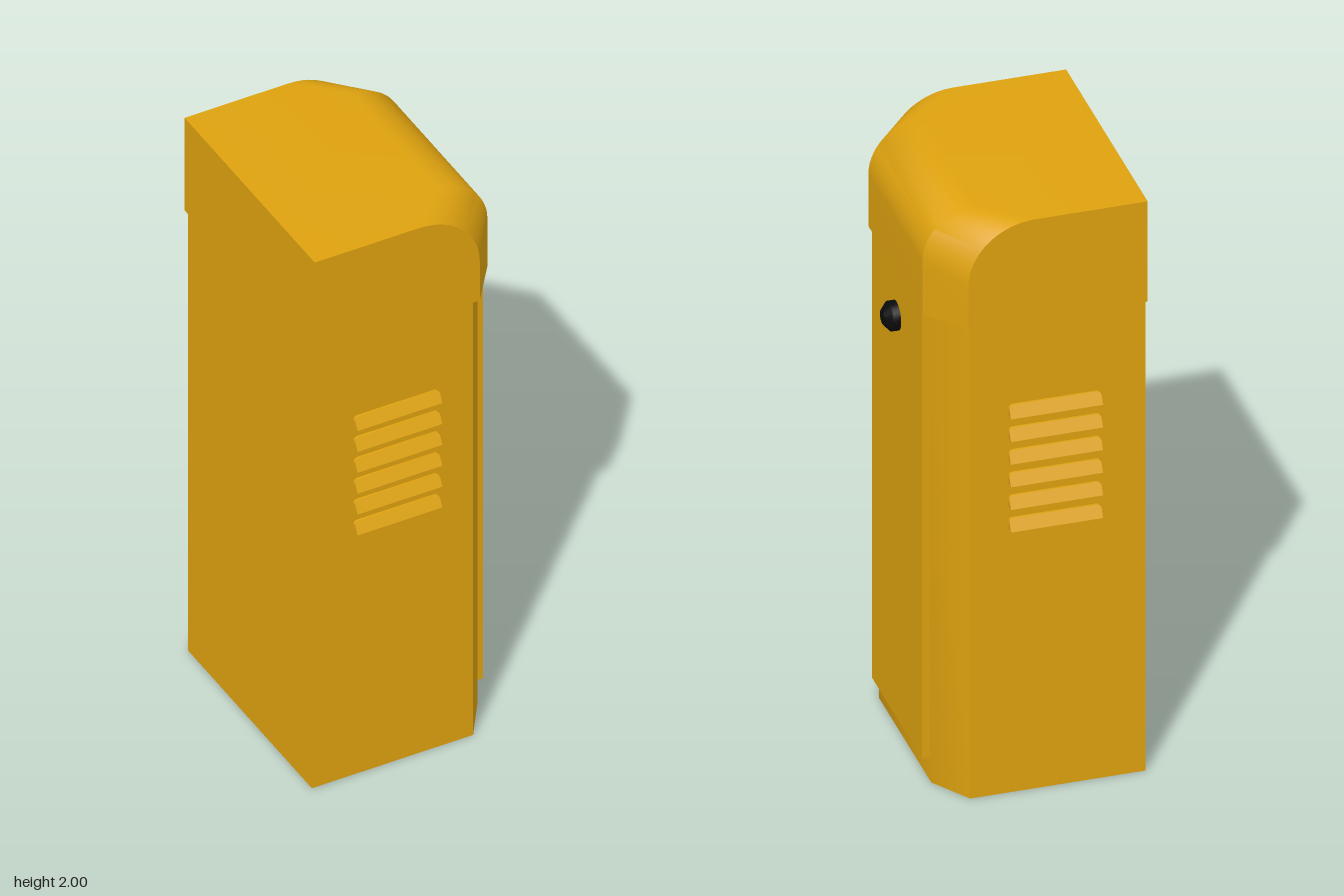
import * as THREE from 'three';
import { toCreasedNormals } from 'three/addons/utils/BufferGeometryUtils.js';

const CREASE = 0.6;
const BACK = -0.355;

// Chamfered plan pulled straight up
function bodyGeometry() {
  const plan = new THREE.Shape([
    [BACK, -0.388], [0.197, -0.388], [0.28, -0.262],
    [0.28, 0.262], [0.197, 0.388], [BACK, 0.388],
  ].map(([x, y]) => new THREE.Vector2(x, y)));
  const geo = new THREE.ExtrudeGeometry(plan, { depth: 1.65, bevelEnabled: false });
  return toCreasedNormals(geo.rotateX(-Math.PI / 2), CREASE);
}

// Side outline of the cap with a rounded upper front corner
function capProfile(front, rx, ry, z) {
  const pts = [new THREE.Vector3(BACK, 1.65, z), new THREE.Vector3(front, 1.65, z)];
  const steps = 14;
  for (let i = 0; i <= steps; i++) {
    const a = (i / steps) * Math.PI / 2;
    pts.push(new THREE.Vector3(front - rx + rx * Math.cos(a), 2 - ry + ry * Math.sin(a), z));
  }
  pts.push(new THREE.Vector3(BACK, 2, z));
  return pts;
}

// Loft across four outlines, closed at both ends
function capGeometry() {
  const rings = [
    capProfile(0.21, 0.21, 0.2, -0.411),
    capProfile(0.312, 0.17, 0.17, -0.275),
    capProfile(0.312, 0.17, 0.17, 0.267),
    capProfile(0.21, 0.21, 0.2, 0.406),
  ];
  const n = rings[0].length;
  const tris = [];
  for (let i = 0; i < rings.length - 1; i++) {
    for (let j = 0; j < n; j++) {
      const k = (j + 1) % n;
      const a = rings[i][j], b = rings[i][k], c = rings[i + 1][k], d = rings[i + 1][j];
      tris.push(a, b, c, a, c, d);
    }
  }
  const [rear, near] = [rings[0], rings[3]];
  for (let j = 1; j < n - 1; j++) {
    tris.push(near[0], near[j], near[j + 1], rear[0], rear[j + 1], rear[j]);
  }
  const geo = new THREE.BufferGeometry().setFromPoints(tris);
  return toCreasedNormals(geo, CREASE);
}

// Wedge louver: deepest at its lower edge, top corners drawn in
function louverGeometry() {
  const outline = new THREE.Shape();
  const w = 0.145, h = 0.038, r = 0.014;
  outline.moveTo(-w, 0);
  outline.lineTo(w, 0);
  outline.lineTo(w, h - r);
  outline.quadraticCurveTo(w, h, w - r, h);
  outline.lineTo(-w + r, h);
  outline.quadraticCurveTo(-w, h, -w, h - r);
  const geo = new THREE.ExtrudeGeometry(outline, { depth: 1, bevelEnabled: false, curveSegments: 4 });
  const p = geo.attributes.position;
  for (let i = 0; i < p.count; i++) {
    const outer = THREE.MathUtils.lerp(0.03, 0.01, p.getY(i) / h);
    p.setZ(i, p.getZ(i) > 0.5 ? outer : 0);
  }
  return toCreasedNormals(geo, CREASE);
}

export function createModel() {
  const yellow = new THREE.MeshStandardMaterial({ color: 0xdea20f });
  yellow.name = 'cabinet yellow';
  const black = new THREE.MeshStandardMaterial({ color: 0x0b0b0b });
  black.name = 'knob black';

  const model = new THREE.Group();
  model.name = 'cabinet';
  const add = (name, geo, mat, parent = model) => {
    const mesh = new THREE.Mesh(geo, mat);
    mesh.name = name;
    parent.add(mesh);
    return mesh;
  };

  add('body', bodyGeometry(), yellow);
  add('cap', capGeometry(), yellow);

  // Door panel on the chamfered end
  add('door', new THREE.BoxGeometry(0.035, 1.56, 0.5), yellow).position.set(0.2885, 0.862, 0);

  // Door knob
  const knobProfile = [[0.047, 0], [0.047, 0.026], [0.024, 0.047], [0, 0.05]]
    .map(([x, y]) => new THREE.Vector2(x, y));
  const knob = add('knob', toCreasedNormals(new THREE.LatheGeometry(knobProfile, 20), CREASE), black);
  knob.rotation.z = -Math.PI / 2;
  knob.position.set(0.304, 1.487, 0.003);

  // Six louvers on each flank
  const louver = louverGeometry();
  for (const side of [1, -1]) {
    const vents = new THREE.Group();
    vents.name = side > 0 ? 'leftVents' : 'rightVents';
    for (let i = 0; i < 6; i++) {
      const slat = add('louver', louver, yellow, vents);
      slat.position.set(-0.068, 1.317 - i * 0.079, side * 0.385);
      if (side < 0) slat.rotation.y = Math.PI;
    }
    model.add(vents);
  }
  return model;
}
